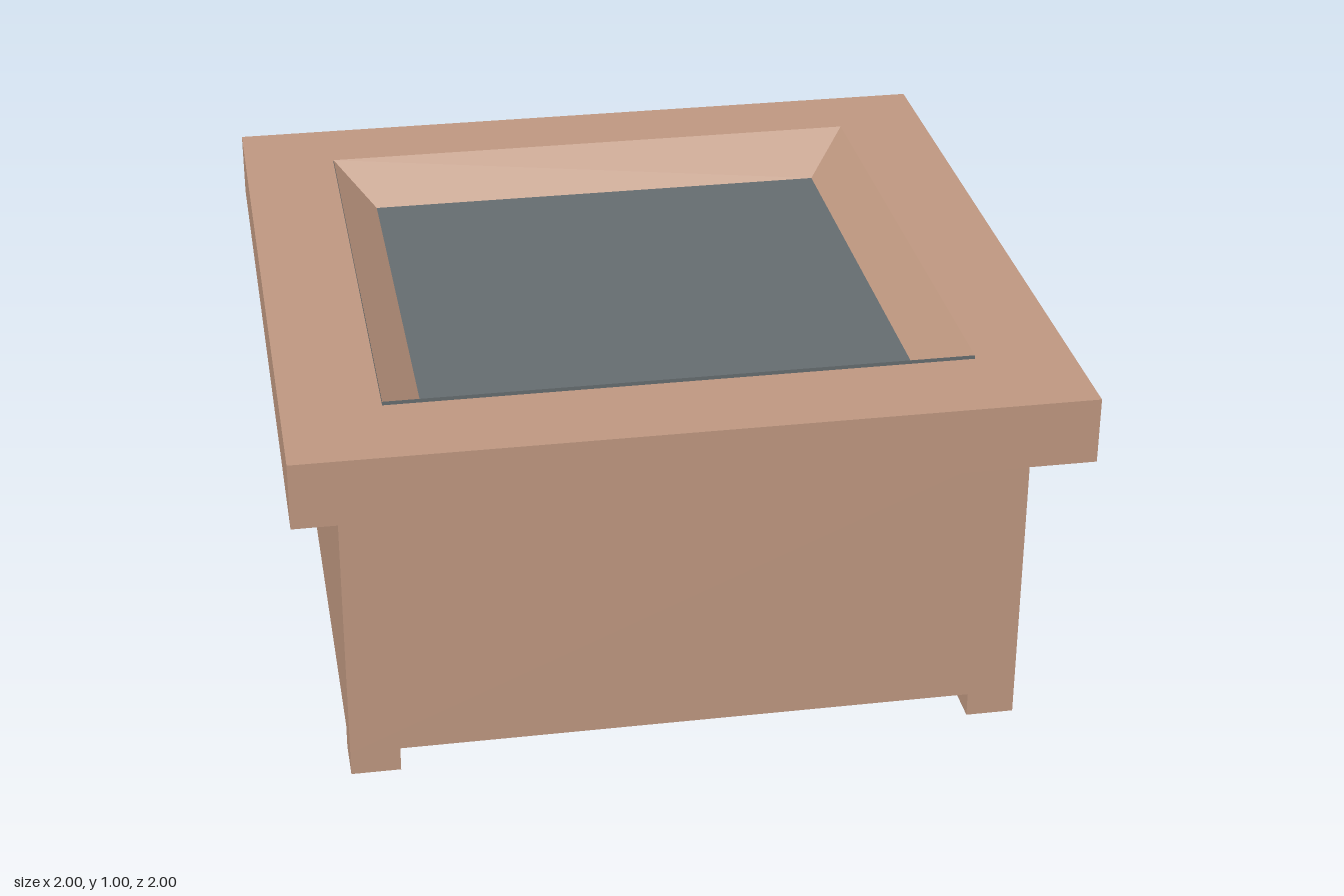
import * as THREE from 'three';

const wood = new THREE.MeshStandardMaterial({ color: 0xbe9780, flatShading: true });
const woodThin = new THREE.MeshStandardMaterial({ color: 0xbe9780, flatShading: true, side: THREE.DoubleSide });
const soilMat = new THREE.MeshStandardMaterial({ color: 0x656c6f, flatShading: true });

export function createModel() {
  const model = new THREE.Group();
  const add = (name, geometry, material) => {
    const mesh = new THREE.Mesh(geometry, material);
    mesh.name = name;
    model.add(mesh);
    return mesh;
  };
  // box given by its low and high corners
  const block = (name, [x0, y0, z0], [x1, y1, z1]) =>
    add(name, new THREE.BoxGeometry(x1 - x0, y1 - y0, z1 - z0), wood)
      .position.set((x0 + x1) / 2, (y0 + y1) / 2, (z0 + z1) / 2);
  // open square sleeve, aligned with the axes
  const sleeve = (topHalf, bottomHalf, y0, y1) =>
    new THREE.CylinderGeometry(topHalf * Math.SQRT2, bottomHalf * Math.SQRT2, y1 - y0, 4, 1, true)
      .rotateY(Math.PI / 4).translate(0, (y0 + y1) / 2, openingZ);

  const openingZ = -0.0125, opening = 0.749, floor = 0.639;
  const rimBottom = 0.815, rimTop = 0.99, soilY = 0.89, legTop = 0.065;

  // square body standing on four corner legs
  const low = -0.88, high = 0.87;
  block('body', [low, legTop, low], [high, rimBottom, high]);
  const spans = [[low, -0.752], [0.745, high]];
  for (const [x0, x1] of spans)
    for (const [z0, z1] of spans) block('leg', [x0, 0, z0], [x1, legTop, z1]);

  // overhanging rim with a square opening
  const square = (Type, h, cy) => new Type([[-h, -h], [h, -h], [h, h], [-h, h]]
    .map(([x, y]) => new THREE.Vector2(x, y + cy)));
  const outline = square(THREE.Shape, 1, 0);
  outline.holes.push(square(THREE.Path, opening, -openingZ));
  add('rim', new THREE.ExtrudeGeometry(outline, { depth: rimTop - rimBottom, bevelEnabled: false })
    .rotateX(-Math.PI / 2).translate(0, rimBottom, 0), wood);

  // sloped inner walls, the thin lip above the rim, and the sunken soil
  add('innerSlope', sleeve(opening, floor, soilY, 1), woodThin);
  add('lip', sleeve(opening, opening, rimTop, 1), soilMat);
  add('soil', new THREE.PlaneGeometry(2 * floor, 2 * floor)
    .rotateX(-Math.PI / 2).translate(0, soilY, openingZ), soilMat);

  return model;
}
